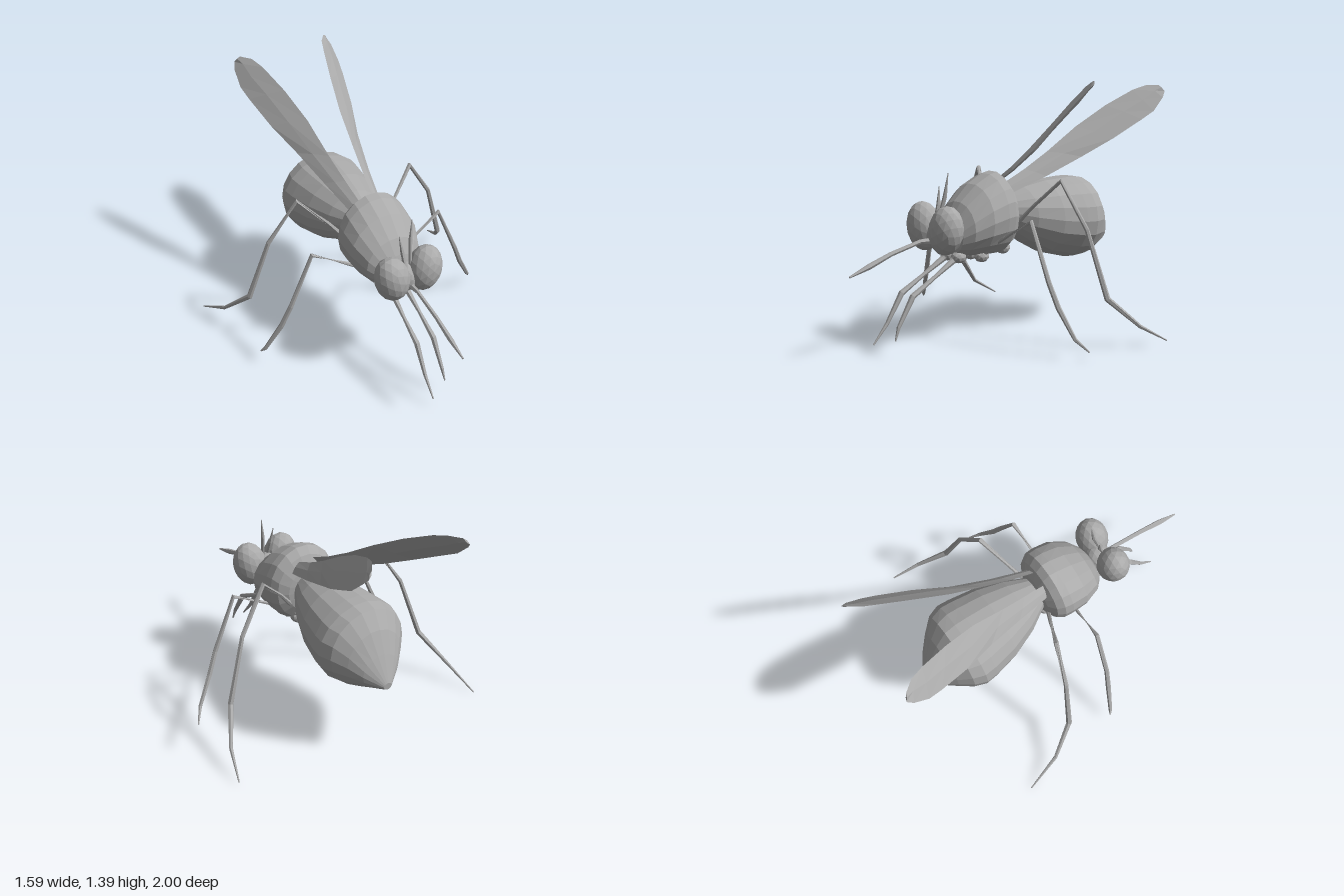
import * as THREE from 'three';

const grey = new THREE.MeshStandardMaterial({ color: 0xaaaaaa, flatShading: true });
grey.name = 'grey';
const V = (x, y, z) => new THREE.Vector3(x, y, z);

// Closed skin over equal-sized rings of points, capped at both ends, facing outward
function loft(rings) {
  const n = rings[0].length, pos = [], tris = [];
  rings.forEach(r => r.forEach(p => pos.push(p.x, p.y, p.z)));
  for (let i = 0; i < rings.length - 1; i++) {
    for (let j = 0; j < n; j++) {
      const a = i * n + j, b = i * n + (j + 1) % n;
      tris.push([a, b, b + n], [a, b + n, a + n]);
    }
  }
  const last = (rings.length - 1) * n;
  for (let j = 1; j < n - 1; j++) {
    tris.push([0, j + 1, j], [last, last + j, last + j + 1]);
  }
  const P = i => V(pos[3 * i], pos[3 * i + 1], pos[3 * i + 2]);
  let volume = 0;
  tris.forEach(([a, b, c]) => { volume += P(a).dot(P(b).cross(P(c))); });
  const index = tris.flatMap(([a, b, c]) => (volume < 0 ? [a, c, b] : [a, b, c]));
  const g = new THREE.BufferGeometry();
  g.setAttribute('position', new THREE.Float32BufferAttribute(pos, 3));
  g.setIndex(index);
  g.computeVertexNormals();
  return g;
}

// Body from elliptical sections along z: [z, top, bottom, half width]
function body(sections, sides) {
  return loft(sections.map(([z, top, bottom, w]) =>
    Array.from({ length: sides }, (_, j) => {
      const a = (j / sides) * Math.PI * 2;
      return V(Math.cos(a) * w, (top + bottom) / 2 + Math.sin(a) * (top - bottom) / 2, z);
    })));
}

// Jointed limb: [x, y, z, radius] at each joint
function limb(joints, sides = 6) {
  const pts = joints.map(([x, y, z]) => V(x, y, z));
  return loft(pts.map((p, i) => {
    const t = V(0, 0, 0);
    if (i > 0) t.add(p.clone().sub(pts[i - 1]).normalize());
    if (i < pts.length - 1) t.add(pts[i + 1].clone().sub(p).normalize());
    t.normalize();
    const u = V(1, 0, 0).addScaledVector(t, -t.x).normalize();
    const v = t.clone().cross(u);
    return Array.from({ length: sides }, (_, j) => {
      const a = (j / sides) * Math.PI * 2, r = joints[i][3];
      return p.clone().addScaledVector(u, Math.cos(a) * r).addScaledVector(v, Math.sin(a) * r);
    });
  }));
}

// Thin wing from [inner edge, outer edge] pairs, slightly thicker in the middle
function wing(pairs, s) {
  return loft(pairs.map(([a, b]) => {
    const p = V(a[0] * s, a[1], a[2]), q = V(b[0] * s, b[1], b[2]);
    const mid = p.clone().add(q).multiplyScalar(0.5);
    const n = V(0.45 * s, 0.8, 0.4).normalize().multiplyScalar(0.006);
    return [p, mid.clone().add(n), q, mid.clone().sub(n)];
  }));
}

export function createModel() {
  const model = new THREE.Group();
  model.name = 'insect';
  const add = (name, geometry) => {
    const m = new THREE.Mesh(geometry, grey);
    m.name = name;
    model.add(m);
    return m;
  };
  const ball = (name, x, y, z, rx, ry, rz, detail = 2) => {
    const m = add(name, new THREE.IcosahedronGeometry(1, detail));
    m.position.set(x, y, z);
    m.scale.set(rx, ry, rz);
    return m;
  };

  // Thorax and abdomen
  add('thorax', body([
    [0.378, 0.64, 0.56, 0.05], [0.35, 0.71, 0.5, 0.12], [0.3, 0.79, 0.485, 0.17],
    [0.2, 0.88, 0.48, 0.21], [0.1, 0.93, 0.475, 0.215], [0.05, 0.94, 0.475, 0.21],
    [0.01, 0.9, 0.5, 0.185], [-0.02, 0.83, 0.56, 0.13], [-0.035, 0.75, 0.64, 0.05]], 18));
  add('abdomen', body([
    [0.03, 0.76, 0.66, 0.05], [-0.03, 0.8, 0.6, 0.1], [-0.15, 0.835, 0.51, 0.17],
    [-0.3, 0.86, 0.43, 0.225], [-0.45, 0.866, 0.39, 0.255], [-0.52, 0.866, 0.385, 0.262],
    [-0.59, 0.855, 0.395, 0.235], [-0.66, 0.765, 0.42, 0.175], [-0.72, 0.645, 0.445, 0.115],
    [-0.787, 0.505, 0.465, 0.025]], 18));

  // Head, mouthpart and antennae
  ball('head', 0, 0.62, 0.42, 0.08, 0.09, 0.08);
  add('proboscis', limb([[0, 0.59, 0.46, 0.02], [0, 0.595, 0.55, 0.012], [0, 0.55, 0.74, 0.013],
    [0, 0.5, 0.88, 0.016], [0, 0.46, 1, 0.005]]));
  add('leftAntenna', limb([[0.015, 0.66, 0.45, 0.01], [0.035, 0.83, 0.41, 0.012], [0.05, 0.96, 0.398, 0.002]]));
  add('rightAntenna', limb([[-0.01, 0.66, 0.45, 0.01], [-0.018, 0.78, 0.415, 0.012], [-0.03, 0.88, 0.4, 0.002]]));

  // Legs whose feet differ slightly from side to side
  const feet = {
    left: { front: [0.06, 0.09, 0.76], middle: [0.738, 0.04, -0.015], hind: [0.788, 0.025, -0.55] },
    right: { front: [0.055, 0.055, 0.825], middle: [0.712, 0.09, 0.03], hind: [0.79, 0.005, -0.598] },
  };

  for (const [side, s] of [['left', 1], ['right', -1]]) {
    const eye = ball(side + 'Eye', s * 0.103, 0.657, 0.453, 0.1, 0.138, 0.094);
    eye.rotation.z = -s * 0.2;

    add(side + 'Wing', wing([
      [[0.045, 0.87, 0.01], [0.1, 0.82, -0.01]],
      [[0.06, 0.94, -0.13], [0.145, 0.9, -0.22]],
      [[0.08, 1.03, -0.28], [0.2, 1, -0.44]],
      [[0.105, 1.165, -0.48], [0.265, 1.1, -0.63]],
      [[0.15, 1.28, -0.67], [0.31, 1.2, -0.81]],
      [[0.2, 1.365, -0.84], [0.325, 1.245, -0.89]],
      [[0.23, 1.39, -0.92], [0.32, 1.32, -0.97]],
      [[0.275, 1.39, -0.98], [0.305, 1.355, -1]]], s));

    const leg = (name, joints, foot) => add(side + name,
      limb([...joints, [...foot, 0.004]].map(([x, y, z, r]) => [x * s, y, z, r])));
    const f = feet[side];
    leg('FrontLeg', [[0.04, 0.51, 0.31, 0.03], [0.045, 0.47, 0.37, 0.018], [0.05, 0.395, 0.5, 0.011],
      [0.053, 0.315, 0.64, 0.017], [0.055, 0.16, 0.735, 0.011]], f.front);
    leg('MiddleLeg', [[0.05, 0.48, 0.17, 0.025], [0.1, 0.53, 0.15, 0.014], [0.21, 0.595, 0.135, 0.01],
      [0.41, 0.712, 0.115, 0.013], [0.545, 0.4, 0.105, 0.014], [0.6, 0.27, 0.085, 0.015],
      [0.69, 0.11, 0.045, 0.011]], f.middle);
    leg('HindLeg', [[0.05, 0.52, 0.02, 0.025], [0.1, 0.61, 0, 0.014], [0.21, 0.745, -0.06, 0.01],
      [0.367, 0.905, -0.135, 0.014], [0.53, 0.65, -0.18, 0.013], [0.645, 0.28, -0.23, 0.017],
      [0.74, 0.12, -0.39, 0.011]], f.hind);

    // Hip joints under the thorax
    [[0.33, 0.49], [0.17, 0.475], [0.02, 0.505]].forEach(([z, y]) =>
      ball(side + 'Hip', s * 0.05, y, z, 0.04, 0.035, 0.045, 1));
  }
  return model;
}
